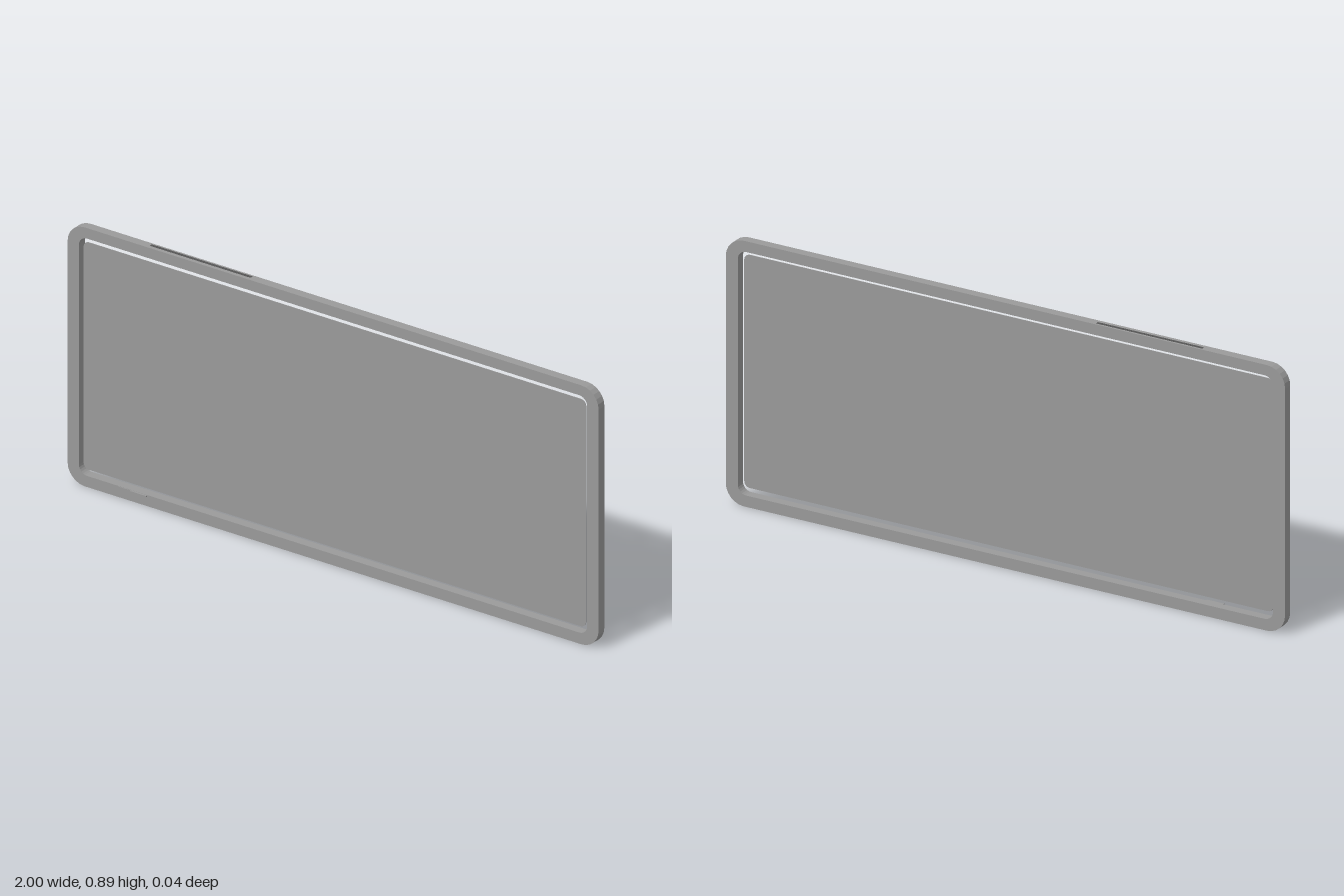
import * as THREE from 'three';

const grey = new THREE.MeshStandardMaterial({ color: 0x9a9a9a, side: THREE.DoubleSide });
const darkGrey = new THREE.MeshStandardMaterial({ color: 0x555555, side: THREE.DoubleSide });

// Adds a rounded rectangle outline to a Shape or Path
function roundedRect(path, x0, y0, x1, y1, r) {
  path.moveTo(x0 + r, y0);
  path.lineTo(x1 - r, y0);
  path.absarc(x1 - r, y0 + r, r, -Math.PI / 2, 0, false);
  path.lineTo(x1, y1 - r);
  path.absarc(x1 - r, y1 - r, r, 0, Math.PI / 2, false);
  path.lineTo(x0 + r, y1);
  path.absarc(x0 + r, y1 - r, r, Math.PI / 2, Math.PI, false);
  path.lineTo(x0, y0 + r);
  path.absarc(x0 + r, y0 + r, r, Math.PI, Math.PI * 1.5, false);
  return path;
}

function addMesh(group, name, geometry, material = grey) {
  const mesh = new THREE.Mesh(geometry, material);
  mesh.name = name;
  group.add(mesh);
}

function slab(shape, back, front) {
  const geometry = new THREE.ExtrudeGeometry(shape, {
    depth: front - back, bevelEnabled: false, curveSegments: 3,
  });
  return geometry.translate(0, 0, back);
}

function box(x0, x1, y0, y1, z0, z1) {
  return new THREE.BoxGeometry(x1 - x0, y1 - y0, z1 - z0)
    .translate((x0 + x1) / 2, (y0 + y1) / 2, (z0 + z1) / 2);
}

export function createModel() {
  const group = new THREE.Group();
  group.name = 'framedPanel';

  // Outer frame with faceted corners and an open middle
  const frame = roundedRect(new THREE.Shape(), -1, 0, 1, 0.89, 0.065);
  frame.holes.push(roundedRect(new THREE.Path(), -0.957, 0.038, 0.957, 0.854, 0.03));
  addMesh(group, 'frame', slab(frame, -0.021, 0.01));

  // Thin panel floating inside the frame with a narrow gap all round
  const panel = roundedRect(new THREE.Shape(), -0.946, 0.056, 0.946, 0.837, 0.02);
  addMesh(group, 'panel', slab(panel, -0.001, 0.001));

  // Slim dark strip let into the top edge
  addMesh(group, 'topStrip', box(-0.7, -0.32, 0.885, 0.8903, -0.014, -0.003), darkGrey);

  // Small catch on the lower rail, just proud of the front
  addMesh(group, 'catchPlate', box(-0.81, -0.7, 0.034, 0.037, 0.005, 0.012));
  addMesh(group, 'catchTab', box(-0.76, -0.7, 0.033, 0.0375, 0.008, 0.017));

  return group;
}
